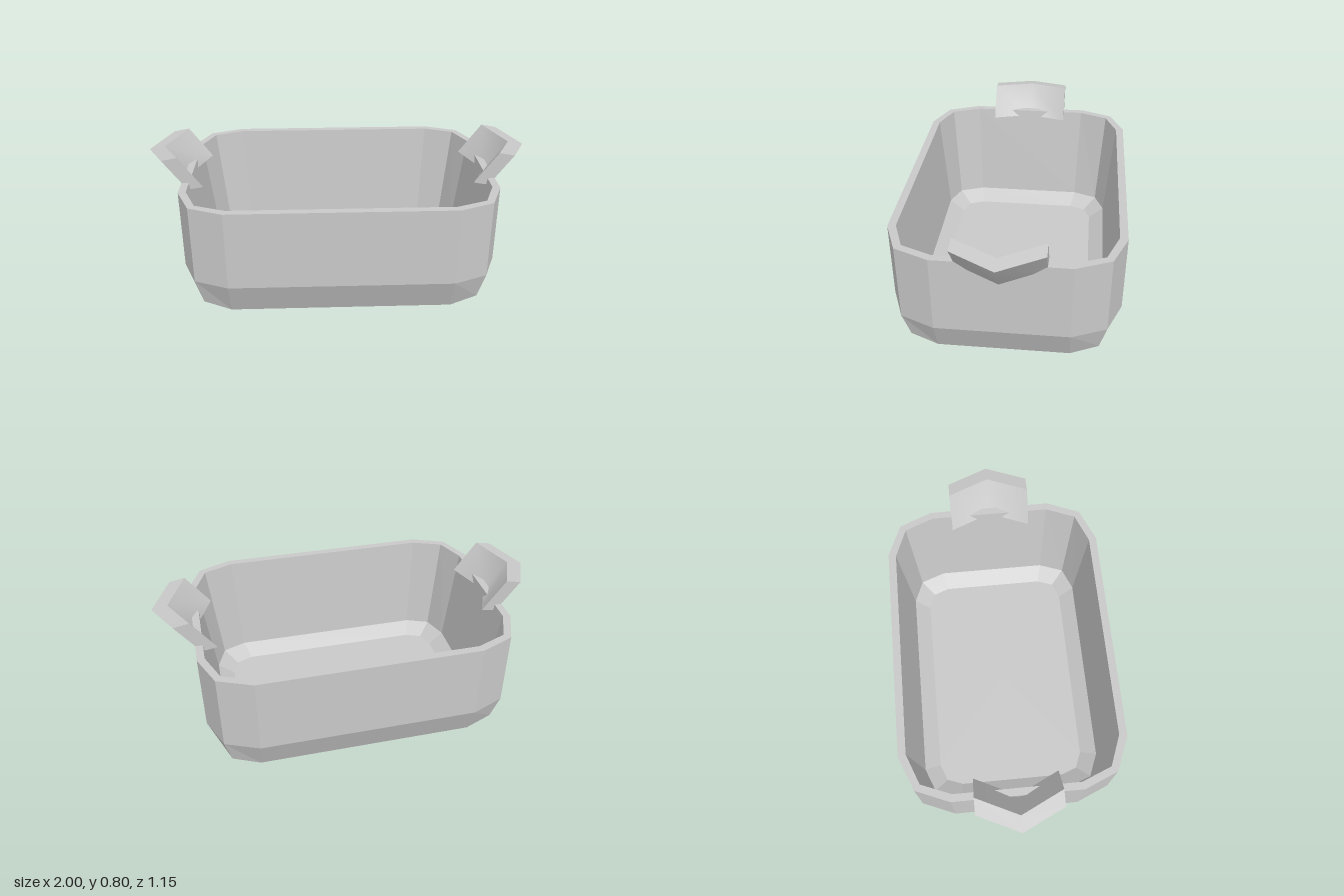
import * as THREE from 'three';

const metal = new THREE.MeshStandardMaterial({ color: 0xc8c8c8 });
metal.name = 'greyMetal';

// Full 12-point ring from the three points of one rounded corner (side, diagonal, front).
function ring(side, diagonal, front) {
  const pts = [];
  for (const [sx, sz] of [[1, 1], [-1, 1], [-1, -1], [1, -1]]) {
    const corner = sx * sz > 0 ? [side, diagonal, front] : [front, diagonal, side];
    for (const [x, y, z] of corner) pts.push(new THREE.Vector3(x * sx, y, z * sz));
  }
  return pts;
}
const flatRing = (y, side, diagonal, front) =>
  ring(...[side, diagonal, front].map(([x, z]) => [x, y, z]));
const centre = (y) => Array.from({ length: 12 }, () => new THREE.Vector3(0, y, 0));

// Faceted skin through successive rings, leaving out collapsed triangles.
function loft(name, rings) {
  const pos = [];
  const tri = (a, b, c) => {
    if (new THREE.Triangle(a, b, c).getArea() < 1e-6) return;
    for (const p of [a, b, c]) pos.push(p.x, p.y, p.z);
  };
  for (let r = 0; r < rings.length - 1; r++) {
    const a = rings[r], b = rings[r + 1];
    for (let i = 0; i < 12; i++) {
      const j = (i + 1) % 12;
      tri(a[i], a[j], b[i]);
      tri(a[j], b[j], b[i]);
    }
  }
  const g = new THREE.BufferGeometry();
  g.setAttribute('position', new THREE.Float32BufferAttribute(pos, 3));
  g.computeVertexNormals();
  const mesh = new THREE.Mesh(g, metal);
  mesh.name = name;
  return mesh;
}

// Chevron strap handle: a leaning parallelogram section swept along z, bent at z = 0.
function handle(name) {
  const section = [[1, 0.765], [0.92, 0.78], [0.8, 0.617], [0.88, 0.603]];
  const stations = [[0.213, -0.099, 0.02], [0, 0, 0], [-0.213, -0.099, 0.02]];
  const pos = [], index = [];
  const vertex = ([x, y], [z, dx, dy]) => pos.push(x + dx, y + dy, z) / 3 - 1;
  // Four long faces, each smooth along the bend
  for (let k = 0; k < 4; k++) {
    const start = pos.length / 3;
    for (const s of stations) {
      vertex(section[k], s);
      vertex(section[(k + 1) % 4], s);
    }
    for (let i = 0; i < 2; i++) {
      const a = start + i * 2;
      index.push(a, a + 2, a + 1, a + 1, a + 2, a + 3);
    }
  }
  // End faces
  for (const s of [stations[0], stations[2]]) {
    const a = pos.length / 3;
    section.forEach((p) => vertex(p, s));
    if (s[0] > 0) index.push(a, a + 1, a + 2, a, a + 2, a + 3);
    else index.push(a, a + 2, a + 1, a, a + 3, a + 2);
  }
  const g = new THREE.BufferGeometry();
  g.setAttribute('position', new THREE.Float32BufferAttribute(pos, 3));
  g.setIndex(index);
  g.computeVertexNormals();
  const mesh = new THREE.Mesh(g, metal);
  mesh.name = name;
  return mesh;
}

export function createModel() {
  const model = new THREE.Group();
  model.name = 'roastingPan';

  const outline = [[0.81, 0.33], [0.738, 0.503], [0.565, 0.575]];
  const outerRim = flatRing(0.66, ...outline);
  const innerRim = flatRing(0.66, [0.772, 0.32], [0.71, 0.474], [0.555, 0.535]);

  // Interior: floor, low bevel and tapering walls
  model.add(loft('interior', [
    centre(0.06),
    flatRing(0.06, [0.62, 0.285], [0.588, 0.372], [0.5, 0.407]),
    flatRing(0.115, [0.705, 0.305], [0.655, 0.44], [0.53, 0.49]),
    innerRim,
  ]));

  model.add(loft('rim', [innerRim, outerRim]));

  // Outer shell: upright walls and a two-step rounded base
  const foot = [0.565, 0.33];
  model.add(loft('outerShell', [
    outerRim,
    flatRing(0.25, ...outline),
    ring([0.738, 0.075, 0.33], [0.706, 0.107, 0.471], [0.565, 0.075, 0.503]),
    flatRing(0, foot, foot, foot),
    centre(0),
  ]));

  // Handles on the two short sides
  const left = handle('leftHandle');
  const right = handle('rightHandle');
  right.rotation.y = Math.PI;
  model.add(left, right);
  return model;
}
